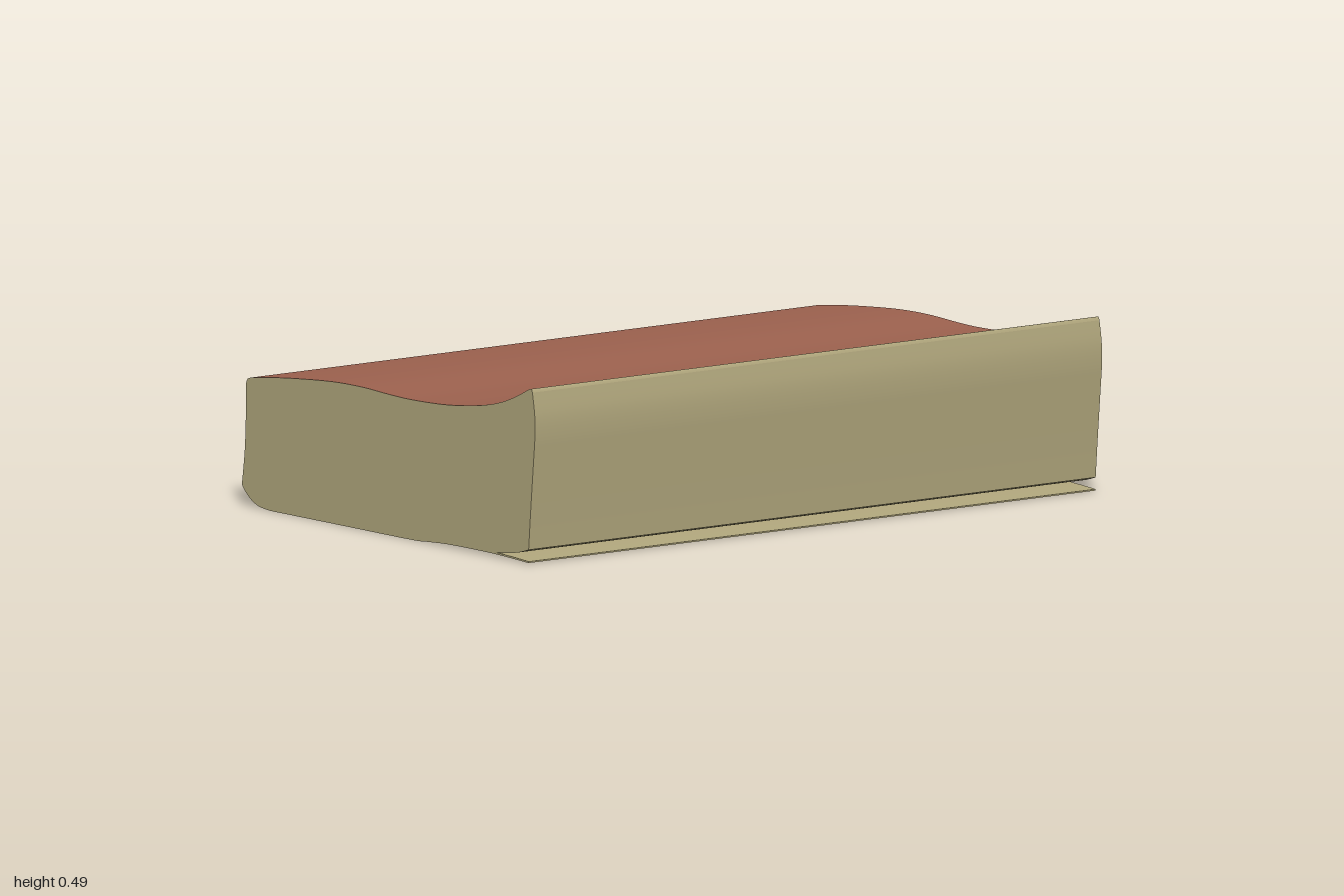
import * as THREE from 'three';

const HALF = 1; // half length along z

// Smooth polyline through a few [x, y] points
function curve(points, divisions) {
  const spline = new THREE.SplineCurve(points.map(([x, y]) => new THREE.Vector2(x, y)));
  return spline.getPoints(divisions);
}

// Wall swept along z; an anticlockwise section faces outwards
function wall(name, section, material) {
  const pos = [], index = [];
  section.forEach((p, i) => {
    pos.push(p.x, p.y, HALF, p.x, p.y, -HALF);
    if (i > 0) {
      const a = 2 * (i - 1);
      index.push(a, a + 2, a + 3, a, a + 3, a + 1);
    }
  });
  // Reversed so the right-hand side of the path is the front
  for (let i = 0; i < index.length; i += 3) [index[i + 1], index[i + 2]] = [index[i + 2], index[i + 1]];
  const g = new THREE.BufferGeometry();
  g.setAttribute('position', new THREE.Float32BufferAttribute(pos, 3));
  g.setIndex(index);
  g.computeVertexNormals();
  const mesh = new THREE.Mesh(g, material);
  mesh.name = name;
  return mesh;
}

export function createModel() {
  const coverRed = new THREE.MeshStandardMaterial({ color: 0x9c614e, side: THREE.DoubleSide });
  coverRed.name = 'coverRed';
  const paperTan = new THREE.MeshStandardMaterial({ color: 0xb0a67c, side: THREE.DoubleSide });
  paperTan.name = 'paperTan';

  // Outline sections, anticlockwise seen from the front
  const parts = [
    ['frontCover', coverRed, curve([[0.628, 0.49], [0.56, 0.458], [0.48, 0.431], [0.38, 0.412], [0.25, 0.398],
      [0.1, 0.393], [0, 0.395], [-0.12, 0.4], [-0.25, 0.398], [-0.4, 0.387], [-0.52, 0.375], [-0.618, 0.362]], 48)],
    ['coverFold', coverRed, curve([[-0.618, 0.362], [-0.63, 0.357], [-0.636, 0.345]], 8)],
    ['spine', coverRed, curve([[-0.636, 0.345], [-0.637, 0.27], [-0.642, 0.16], [-0.655, 0.058]], 16)],
    ['spineCorner', coverRed, curve([[-0.655, 0.058], [-0.64, 0.04], [-0.61, 0.018], [-0.575, 0.005], [-0.53, 0]], 14)],
    ['backCover', coverRed, curve([[-0.53, 0], [-0.2, 0], [0.1, 0], [0.18, 0.004], [0.26, 0.008], [0.38, 0.009],
      [0.48, 0.008], [0.56, 0.005], [0.625, 0.002]], 40)],
    ['backCoverEdge', paperTan, curve([[0.625, 0.002], [0.625, 0.006]], 1)],
    ['backCoverLining', paperTan, curve([[0.625, 0.006], [0.56, 0.01], [0.48, 0.013]], 8)],
    ['pagesUnderside', paperTan, curve([[0.48, 0.013], [0.53, 0.018], [0.58, 0.026], [0.625, 0.039]], 10)],
    ['pageEdge', paperTan, curve([[0.625, 0.039], [0.635, 0.16], [0.647, 0.29], [0.653, 0.36], [0.652, 0.42],
      [0.642, 0.482]], 28)],
    ['pageEdgeFold', paperTan, curve([[0.642, 0.482], [0.637, 0.491], [0.628, 0.49]], 6)],
  ];

  const model = new THREE.Group();
  model.name = 'book';
  const outline = [];
  for (const [name, material, section] of parts) {
    model.add(wall(name, section, material));
    outline.push(...section.slice(0, -1));
  }

  // Flat page ends at front and back
  const endShape = new THREE.Shape(outline);
  for (const side of [1, -1]) {
    const g = new THREE.ShapeGeometry(endShape);
    if (side < 0) {
      // Turn the back end to face away
      const idx = g.index.array;
      for (let i = 0; i < idx.length; i += 3) [idx[i + 1], idx[i + 2]] = [idx[i + 2], idx[i + 1]];
      g.computeVertexNormals();
    }
    const end = new THREE.Mesh(g, paperTan);
    end.name = side > 0 ? 'frontPageEnds' : 'backPageEnds';
    end.position.z = side * HALF;
    model.add(end);
  }
  return model;
}
